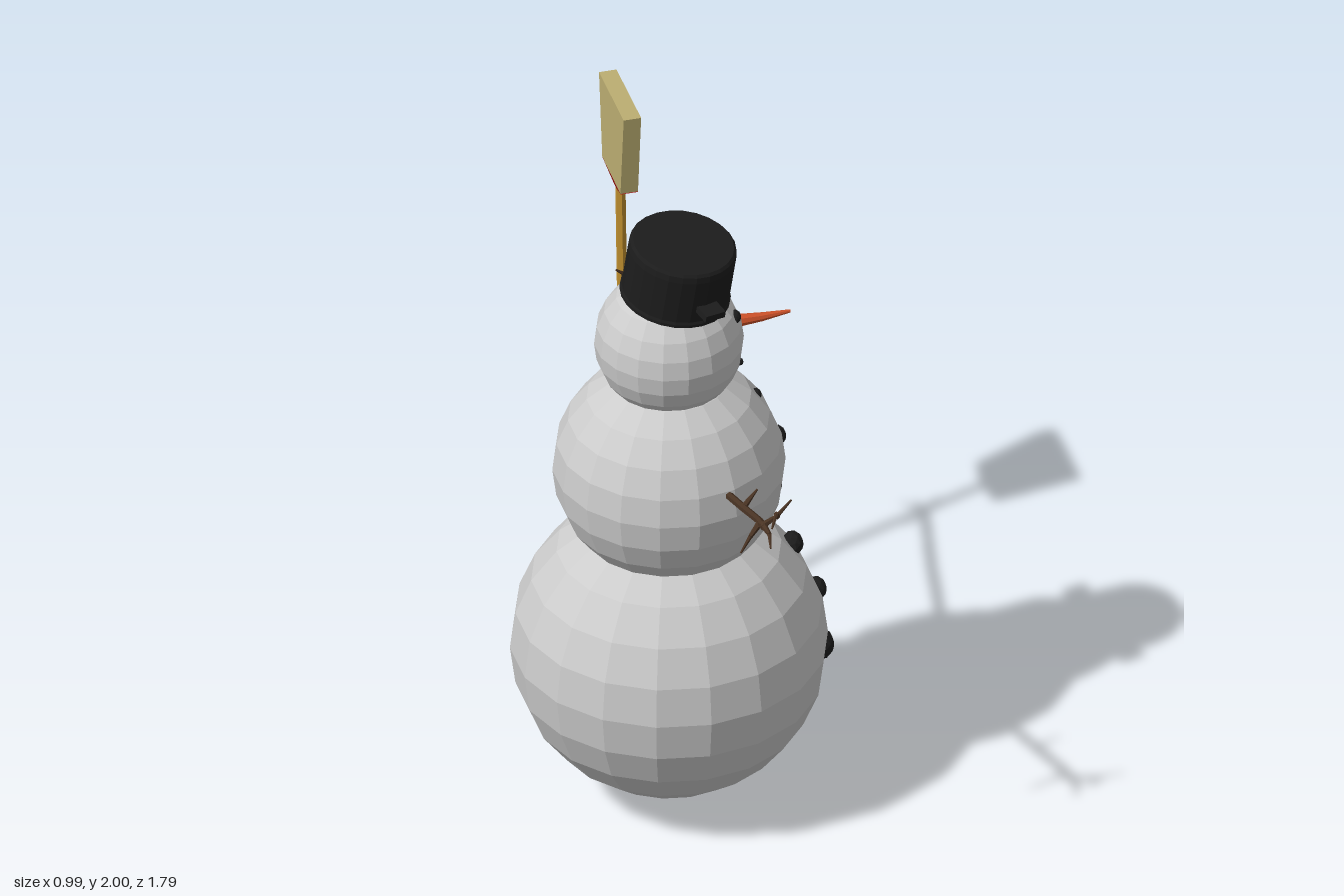
import * as THREE from 'three';

const V = (p) => new THREE.Vector3(...p);
const mat = (color, side = THREE.FrontSide) =>
  new THREE.MeshStandardMaterial({ color, flatShading: true, side });

export function createModel() {
  const model = new THREE.Group();
  const snow = mat(0xcccccc);
  const coal = mat(0x1c1c1c);
  const bark = mat(0x4a3424);
  const carrot = mat(0xd0532a);
  const wood = mat(0xc0902f);
  const straw = mat(0xbcae72);
  const red = mat(0xa01010);

  function add(name, geometry, material, position = [0, 0, 0], parent = model) {
    const mesh = new THREE.Mesh(geometry, material);
    mesh.name = name;
    mesh.position.set(...position);
    parent.add(mesh);
    return mesh;
  }

  // Tapered rod from point a to point b
  function rod(name, a, b, r0, r1, material, parent, sides = 6) {
    const start = V(a), end = V(b);
    const dir = end.clone().sub(start);
    const geo = new THREE.CylinderGeometry(r1, r0, dir.length(), sides);
    const mesh = add(name, geo, material, start.clone().add(end).multiplyScalar(0.5).toArray(), parent);
    mesh.quaternion.setFromUnitVectors(new THREE.Vector3(0, 1, 0), dir.normalize());
    return mesh;
  }

  // Chain of rods through several points, tapering evenly
  function branch(name, points, r0, r1, material, parent) {
    const n = points.length - 1;
    for (let i = 0; i < n; i++) {
      rod(name, points[i], points[i + 1],
        THREE.MathUtils.lerp(r0, r1, i / n), THREE.MathUtils.lerp(r0, r1, (i + 1) / n), material, parent);
    }
  }

  // Three stacked snowballs
  const balls = [['lowerBody', 0.52, 0.484], ['upperBody', 1.16, 0.355], ['head', 1.612, 0.228]];
  for (const [name, y, r] of balls) {
    add(name, new THREE.SphereGeometry(r, 18, 12).rotateY(Math.PI / 2), snow, [-0.022, y, 0.132]);
  }

  // Coal eyes, mouth and buttons
  const lump = (name, x, y, z, r) => {
    const mesh = add(name, new THREE.IcosahedronGeometry(r, 1), coal, [x, y, z]);
    mesh.scale.x = 0.85;
  };
  for (const side of [-1, 1]) lump('eye', 0.168, 1.704, 0.132 + side * 0.064, 0.022);
  for (let i = -2; i <= 2; i++) {
    lump('mouthCoal', 0.19 - 0.004 * Math.abs(i), 1.519 + 0.0058 * i * i, 0.131 + i * 0.036, 0.012);
  }
  const buttons = [
    [0.25, 1.366, 0.021], [0.318, 1.206, 0.032], [0.305, 1.03, 0.032],
    [0.366, 0.804, 0.039], [0.44, 0.626, 0.038], [0.453, 0.423, 0.05],
  ];
  for (const [x, y, r] of buttons) lump('button', x, y, 0.135, r);

  // Carrot nose
  const nose = new THREE.Group();
  nose.name = 'nose';
  model.add(nose);
  rod('noseBase', [0.17, 1.644, 0.132], [0.27, 1.644, 0.132], 0.022, 0.014, carrot, nose, 8);
  rod('noseTip', [0.27, 1.644, 0.132], [0.36, 1.648, 0.13], 0.014, 0.005, carrot, nose, 8);

  // Upturned cooking pot worn as a hat
  const hat = new THREE.Group();
  hat.name = 'potHat';
  hat.position.set(0.006, 1.88, 0.148);
  hat.quaternion.setFromUnitVectors(new THREE.Vector3(0, 1, 0), V([0.11, 1, 0.12]).normalize());
  model.add(hat);
  const profile = [
    [0, 0.08], [0.155, 0.08], [0.16, -0.095], [0.17, -0.098], [0.17, -0.088],
    [0.166, -0.08], [0.166, 0.07], [0.163, 0.09], [0.155, 0.098], [0, 0.098],
  ].map(([x, y]) => new THREE.Vector2(x, y));
  add('pot', new THREE.LatheGeometry(profile, 24), mat(0x1c1c1c, THREE.DoubleSide), [0, 0, 0], hat);
  for (const turn of [0.3, 0.3 + Math.PI]) {
    const pivot = new THREE.Group();
    pivot.name = 'potHandle';
    pivot.rotation.y = turn;
    hat.add(pivot);
    add('handleGrip', new THREE.BoxGeometry(0.07, 0.022, 0.058), coal, [0, -0.03, 0.187], pivot);
  }

  // Stick arms with forked twigs
  const frontArm = new THREE.Group();
  frontArm.name = 'frontArm';
  const rearArm = new THREE.Group();
  rearArm.name = 'rearArm';
  model.add(frontArm, rearArm);

  branch('armStick', [[0.075, 1.225, 0.42], [0.085, 1.28, 0.6], [0.092, 1.33, 0.75], [0.09, 1.345, 0.81]],
    0.013, 0.011, bark, frontArm);
  const frontTwigs = [
    [[0.09, 1.34, 0.79], [0.125, 1.39, 0.825], [0.167, 1.45, 0.838]],
    [[0.09, 1.345, 0.79], [0.095, 1.345, 0.85], [0.088, 1.32, 0.89]],
    [[0.09, 1.33, 0.76], [0.055, 1.30, 0.78], [0.02, 1.255, 0.795]],
    [[0.125, 1.39, 0.825], [0.12, 1.41, 0.84], [0.1, 1.37, 0.86]],
    [[0.085, 1.278, 0.59], [0.11, 1.295, 0.575], [0.137, 1.315, 0.56]],
  ];
  for (const t of frontTwigs) branch('twig', t, 0.011, 0.003, bark, frontArm);

  branch('armStick', [[0.09, 1.153, -0.18], [0.093, 1.215, -0.47], [0.095, 1.275, -0.7], [0.098, 1.285, -0.75]],
    0.013, 0.011, bark, rearArm);
  const rearTwigs = [
    [[0.097, 1.28, -0.73], [0.11, 1.3, -0.77], [0.115, 1.345, -0.79]],
    [[0.097, 1.28, -0.73], [0.11, 1.235, -0.785], [0.125, 1.175, -0.835]],
    [[0.097, 1.285, -0.74], [0.1, 1.275, -0.77], [0.105, 1.265, -0.805]],
    [[0.095, 1.27, -0.7], [0.07, 1.3, -0.695], [0.04, 1.325, -0.69]],
    [[0.095, 1.27, -0.7], [0.085, 1.255, -0.71], [0.05, 1.24, -0.7]],
    [[0.093, 1.225, -0.5], [0.11, 1.2, -0.512], [0.13, 1.165, -0.515]],
  ];
  for (const t of rearTwigs) branch('twig', t, 0.011, 0.003, bark, rearArm);

  // Broom: crooked handle, red binding and straw head
  const broom = new THREE.Group();
  broom.name = 'broom';
  model.add(broom);
  branch('broomHandle', [[0.068, 0, -0.635], [0.07, 0.624, -0.667], [0.07, 0.926, -0.718], [0.07, 1.61, -0.751]],
    0.016, 0.016, wood, broom);
  // Outline in (z, y), given thickness along x
  const slab = (name, outline, material) => {
    const shape = new THREE.Shape(outline.map(([z, y]) => new THREE.Vector2(z, y)));
    const geo = new THREE.ExtrudeGeometry(shape, { depth: 0.055, bevelEnabled: false }).rotateY(-Math.PI / 2);
    return add(name, geo, material, [0.0975, 0, 0], broom);
  };
  slab('broomBristles', [[-0.857, 1.63], [-0.65, 1.627], [-0.614, 1.918], [-0.894, 1.914]], straw);
  const binding = slab('broomBinding', [[-0.76, 1.59], [-0.738, 1.59], [-0.647, 1.627], [-0.859, 1.63]], red);
  // Narrow the binding's lower edge toward the handle
  const pos = binding.geometry.attributes.position;
  for (let i = 0; i < pos.count; i++) {
    if (pos.getY(i) < 1.6) pos.setX(i, -0.0275 + (pos.getX(i) + 0.0275) * 0.6);
  }
  binding.geometry.computeVertexNormals();

  return model;
}
